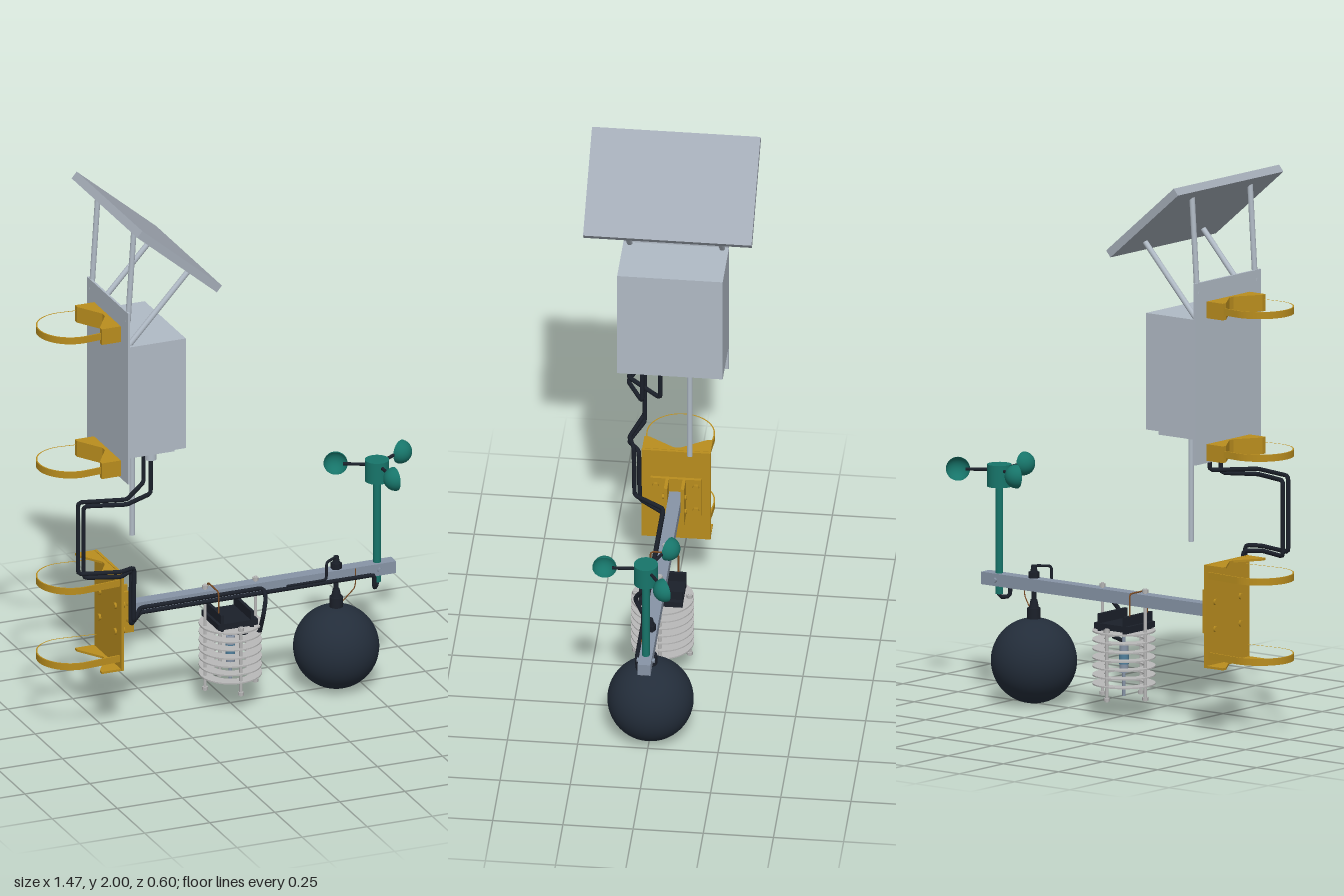
import * as THREE from 'three';

const mat = (color, double) => new THREE.MeshStandardMaterial({ color, side: double ? THREE.DoubleSide : THREE.FrontSide });
const V = (x, y, z) => new THREE.Vector3(x, y, z);

export function createModel() {
  const root = new THREE.Group();
  const light = mat(0xb0bac5), steel = mat(0x8794a6), gold = mat(0xb98d1e), teal = mat(0x17756a),
    tealShell = mat(0x17756a, true), black = mat(0x1b202a), ball = mat(0x232d3a), disc = mat(0xb8b8b8, true),
    panelGrey = mat(0xa3abb6), blue = mat(0x4f7f9c), copper = mat(0x7a4a22);

  const add = (name, geo, m, x = 0, y = 0, z = 0) => {
    const mesh = new THREE.Mesh(geo, m);
    mesh.name = name;
    mesh.position.set(x, y, z);
    root.add(mesh);
    return mesh;
  };
  // box given by its limits on each axis
  const box = (name, m, x0, x1, y0, y1, z0, z1) =>
    add(name, new THREE.BoxGeometry(x1 - x0, y1 - y0, z1 - z0), m, (x0 + x1) / 2, (y0 + y1) / 2, (z0 + z1) / 2);
  // round bar between two points
  const rod = (name, m, a, b, r, r2 = r, sides = 20) => {
    const d = b.clone().sub(a);
    const mesh = add(name, new THREE.CylinderGeometry(r2, r, d.length(), sides), m);
    mesh.position.copy(a).addScaledVector(d, 0.5);
    mesh.quaternion.setFromUnitVectors(V(0, 1, 0), d.normalize());
    return mesh;
  };
  // cable with straight runs and tight bends
  const cable = (name, m, pts, r) => {
    const p = pts.map(q => V(...q)), path = new THREE.CurvePath();
    let last = p[0];
    for (let i = 1; i < p.length - 1; i++) {
      const toward = q => p[i].clone().add(q.clone().sub(p[i]).setLength(Math.min(0.015, q.distanceTo(p[i]) * 0.45)));
      const a = toward(p[i - 1]), b = toward(p[i + 1]);
      path.add(new THREE.LineCurve3(last, a));
      path.add(new THREE.QuadraticBezierCurve3(a, p[i], b));
      last = b;
    }
    path.add(new THREE.LineCurve3(last, p[p.length - 1]));
    add(name, new THREE.TubeGeometry(path, 200, r, 8), m);
  };
  // plan outline (x, z) extruded from y0 up to y0 + h
  const slab = (name, m, pts, y0, h, hole) => {
    const shape = new THREE.Shape(pts.map(q => new THREE.Vector2(...q)));
    if (hole) shape.holes.push(new THREE.Path(hole.map(q => new THREE.Vector2(...q))));
    const geo = new THREE.ExtrudeGeometry(shape, { depth: h, bevelEnabled: false });
    add(name, geo.rotateX(Math.PI / 2), m, 0, y0 + h, 0);
  };

  // equipment box with back plate, bottom lip, cable glands and aerial
  box('equipmentBox', light, -0.464, -0.25, 1.09, 1.51, -0.188, 0.188);
  box('backPlate', light, -0.472, -0.464, 0.985, 1.64, -0.187, 0.187);
  box('boxBottom', light, -0.45, -0.28, 1.07, 1.09, -0.155, 0.155);
  for (const z of [0.11, 0.045]) {
    rod('cableGland', light, V(-0.352, 1.035, z), V(-0.352, 1.07, z), 0.021);
  }
  rod('aerial', light, V(-0.352, 0.68, -0.06), V(-0.352, 1.07, -0.06), 0.01);

  // solar panel and its struts
  const panel = add('solarPanel', new THREE.BoxGeometry(0.40, 0.03, 0.6), panelGrey, -0.321, 1.858, 0);
  panel.rotation.z = -0.70;
  for (const z of [-0.165, 0.165]) {
    rod('rearStrut', light, V(-0.463, 1.6, z), V(-0.44, 1.945, z), 0.01);
    rod('frontStrut', light, V(-0.458, 1.51, z), V(-0.225, 1.763, z), 0.01);
  }

  // pole straps and notched blocks
  const strapLine = r => {
    const pts = [[-0.585 + r, -r + 0.014]];
    for (let i = 0; i <= 48; i++) {
      const a = THREE.MathUtils.degToRad(-84 - i * 4);
      pts.push([-0.615 + r * Math.cos(a), r * Math.sin(a)]);
    }
    pts.push([-0.585 + r, r - 0.014]);
    return pts;
  };
  const notch = [[-0.472, -0.122], [-0.545, -0.122], [-0.545, -0.104], [-0.487, -0.012],
    [-0.487, 0.012], [-0.545, 0.104], [-0.545, 0.122], [-0.472, 0.122]];
  for (const y of [1.537, 1.023, 0.577, 0.288]) {
    slab('poleStrap', gold, strapLine(0.122), y - 0.0125, 0.025, strapLine(0.117));
  }
  for (const y of [1.537, 1.023]) slab('clampBlock', gold, notch, y - 0.03, 0.06);

  // lower mounting bracket
  box('mountPlate', gold, -0.47, -0.46, 0.246, 0.617, -0.123, 0.123);
  for (const y of [0.246, 0.609]) slab('mountFlange', gold, notch, y, 0.008);
  box('beamSocketPlate', gold, -0.46, -0.448, 0.35, 0.507, -0.09, 0.09);
  for (const s of [-1, 1]) {
    box('beamSocketCheek', gold, -0.45, -0.385, 0.35, 0.507, s * 0.03 - 0.006, s * 0.03 + 0.006);
    for (const y of [0.38, 0.478]) {
      rod('mountBolt', gold, V(-0.478, y, s * 0.072), V(-0.438, y, s * 0.072), 0.012, 0.012, 6);
    }
    for (const y of [0.40, 0.46]) {
      rod('cheekBolt', gold, V(-0.405, y, s * 0.035), V(-0.405, y, s * 0.044), 0.01, 0.01, 6);
    }
  }

  // cross beam
  box('beam', steel, -0.448, 0.628, 0.408, 0.453, -0.023, 0.023);

  // anemometer
  const ax = 0.564;
  rod('anemometerMast', teal, V(ax, 0.378, 0), V(ax, 0.78, 0), 0.014);
  rod('anemometerHead', teal, V(ax, 0.765, 0), V(ax, 0.845, 0), 0.043, 0.043, 32);
  rod('mastBolt', steel, V(ax, 0.43, -0.032), V(ax, 0.43, 0.032), 0.009, 0.009, 6);
  for (let i = 0; i < 3; i++) {
    const cup = new THREE.Group();
    cup.name = 'windCup';
    const arm = new THREE.Mesh(new THREE.CylinderGeometry(0.006, 0.006, 0.11, 10).rotateX(Math.PI / 2), black);
    arm.position.z = 0.065;
    const bowl = new THREE.Mesh(
      new THREE.SphereGeometry(0.043, 28, 12, 0, Math.PI * 2, 0, Math.PI / 2).rotateZ(Math.PI / 2), tealShell);
    bowl.position.z = 0.147;
    cup.add(arm, bowl);
    cup.position.set(ax, 0.825, 0);
    cup.rotation.y = i * Math.PI * 2 / 3 + 0.06;
    root.add(cup);
  }

  // globe thermometer hanging from the beam
  const gx = 0.407;
  add('globe', new THREE.SphereGeometry(0.153, 48, 32), ball, gx, 0.156, 0);
  rod('globeNeck', black, V(gx, 0.3, 0), V(gx, 0.345, 0), 0.024, 0.024);
  rod('globeCollar', black, V(gx, 0.345, 0), V(gx, 0.375, 0), 0.018, 0.012);
  rod('globeStem', black, V(gx, 0.37, 0), V(gx, 0.485, 0), 0.009);
  rod('globeNut', black, V(gx, 0.453, 0), V(gx, 0.475, 0), 0.02, 0.02, 6);
  rod('globeCap', black, V(gx, 0.475, 0), V(gx, 0.5, 0), 0.013, 0.009);
  cable('globeTether', copper, [[0.47, 0.452, 0.025], [0.47, 0.38, 0.025], [0.425, 0.325, 0.01]], 0.002);

  // louvred radiation shield
  const ring = new THREE.Shape().absarc(0, 0, 0.112, 0, Math.PI * 2);
  ring.holes.push(new THREE.Path().absarc(0, 0, 0.07, 0, Math.PI * 2, true));
  const ringGeo = new THREE.ExtrudeGeometry(ring, { depth: 0.005, bevelEnabled: false, curveSegments: 32 })
    .rotateX(Math.PI / 2);
  add('shieldTop', new THREE.CylinderGeometry(0.112, 0.112, 0.006, 48), disc, 0, 0.311, 0);
  for (let i = 1; i < 7; i++) add('shieldRing', ringGeo, disc, 0, 0.3125 - i * 0.0315, 0);
  for (let i = 0; i < 4; i++) {
    const x = 0.097 * Math.cos(i * Math.PI / 2), z = 0.097 * Math.sin(i * Math.PI / 2);
    const top = i % 2 ? 0.33 : 0.472;
    rod('shieldRod', disc, V(x, 0.066, z), V(x, top, z), 0.006, 0.006, 10);
    for (const y of [0.075, top - 0.009]) rod('shieldNut', disc, V(x, y - 0.006, z), V(x, y + 0.006, z), 0.011, 0.011, 6);
  }
  rod('sensorProbe', steel, V(0, 0.16, 0), V(0, 0.26, 0), 0.016);
  rod('sensorBand', blue, V(0, 0.19, 0), V(0, 0.23, 0), 0.0175);
  rod('sensorTip', steel, V(0, 0.075, 0), V(0, 0.3, 0), 0.006);

  // black sensor cradle
  box('cradleBase', black, -0.078, 0.074, 0.32, 0.342, -0.078, 0.078);
  for (const x of [-0.062, 0.052]) box('cradleSide', black, x - 0.006, x + 0.006, 0.312, 0.376, -0.078, 0.078);

  // tie around the beam
  const tie = [[-0.066, 0.376, 0.05], [-0.066, 0.456, 0.05], [-0.066, 0.456, -0.05], [-0.066, 0.376, -0.05]];
  cable('beamTie', copper, tie, 0.003);

  // cables from the box round the bracket and along the beam
  cable('sensorCable', black, [[-0.352, 1.05, 0.045], [-0.352, 0.922, 0.045], [-0.47, 0.922, 0.172],
    [-0.64, 0.922, 0.13], [-0.64, 0.647, 0.13], [-0.49, 0.647, 0.17], [-0.432, 0.647, 0.148],
    [-0.432, 0.438, 0.145], [-0.36, 0.438, 0.035], [0.112, 0.438, 0.035], [0.112, 0.41, 0.06],
    [0.09, 0.36, 0.09], [0.09, 0.272, 0.05], [0, 0.272, 0]], 0.008);
  cable('mainCable', black, [[-0.352, 1.05, 0.11], [-0.352, 0.903, 0.11], [-0.47, 0.903, 0.172],
    [-0.618, 0.903, 0.128], [-0.618, 0.629, 0.128], [-0.49, 0.629, 0.172], [-0.436, 0.629, 0.13],
    [-0.436, 0.42, 0.127], [-0.36, 0.42, 0.035], [0.54, 0.42, 0.035],
    [0.54, 0.366, 0.03], [ax, 0.366, 0], [ax, 0.385, 0]], 0.008);
  cable('globeCable', black, [[0.2, 0.43, 0.035], [0.355, 0.43, 0.035], [0.355, 0.497, 0.035],
    [gx, 0.497, 0], [gx, 0.48, 0]], 0.005);

  return root;
}
